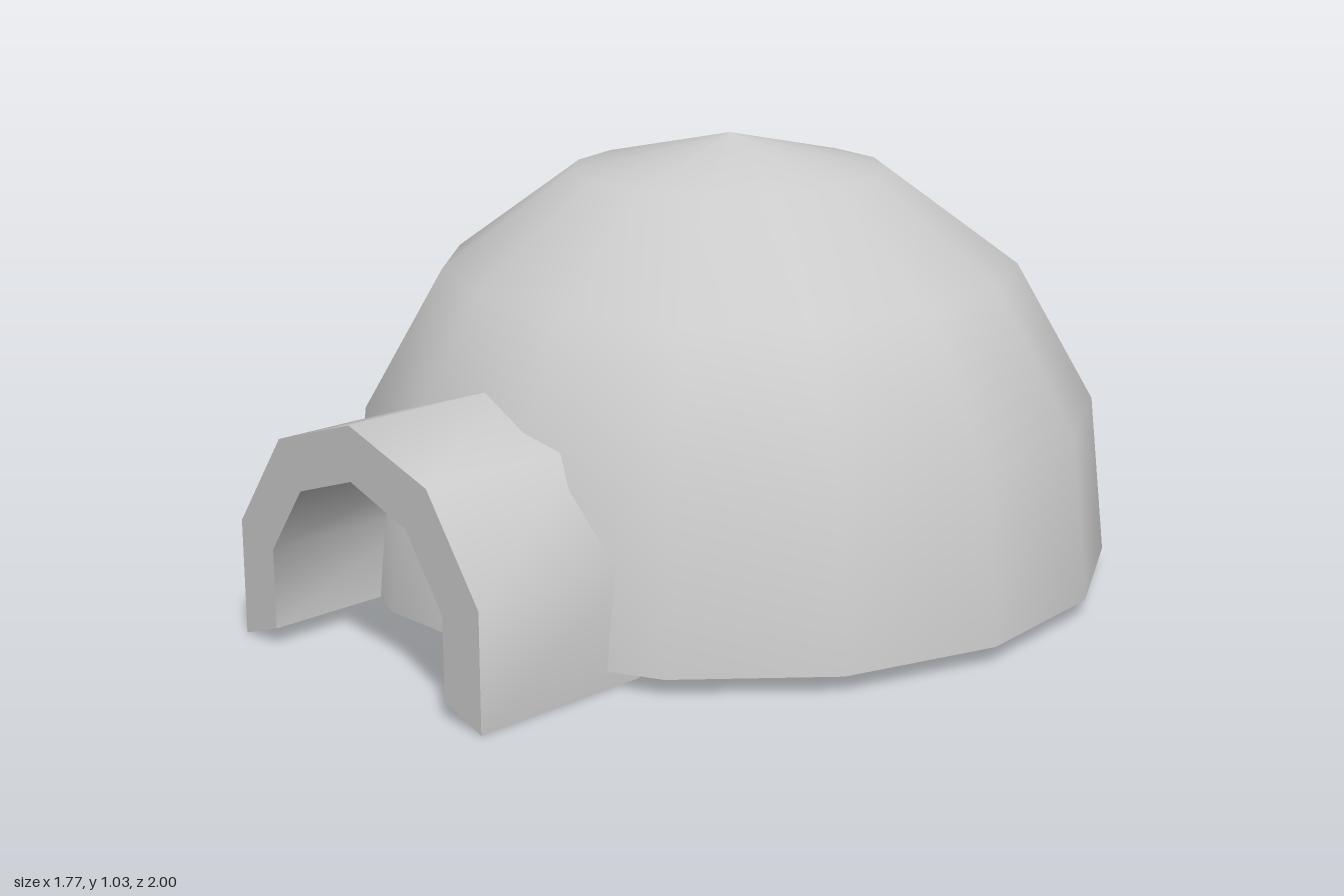
import * as THREE from 'three';
import { toCreasedNormals } from 'three/addons/utils/BufferGeometryUtils.js';

const vec = ([x, y]) => new THREE.Vector2(x, y);

export function createModel() {
  const group = new THREE.Group();
  const material = new THREE.MeshStandardMaterial({ color: 0xcccccc, side: THREE.DoubleSide });

  // Open dome shell: 15 sides, with one corner pointing straight back
  const profile = [[0.89, 0.04], [0.85, 0.41], [0.667, 0.73], [0.365, 0.95], [0, 1.03]].map(vec);
  const dome = new THREE.Mesh(new THREE.LatheGeometry(profile, 15, Math.PI), material);
  dome.name = 'dome';
  dome.position.z = -0.11;
  group.add(dome);

  // Thick entrance arch, reaching through the dome wall
  const outer = [[0.4, 0], [0.4, 0.26], [0.247, 0.475], [0, 0.555]];
  const inner = [[0, 0.435], [0.177, 0.375], [0.287, 0.22], [0.287, 0.04]];
  const right = [...outer, ...inner];
  const mirrored = (pts) => pts.map(([x, y]) => [-x, y]).reverse();
  const outline = [
    ...outer, ...mirrored(outer).slice(1),
    ...mirrored(inner), ...inner.slice(1),
  ].map(vec);
  const depth = 0.43;
  const arch = new THREE.ExtrudeGeometry(new THREE.Shape(outline), { depth, bevelEnabled: false });
  const entrance = new THREE.Mesh(toCreasedNormals(arch, 1), material);
  entrance.name = 'entranceTunnel';
  entrance.position.set(0.007, 0, 1 - depth);
  group.add(entrance);

  return group;
}
